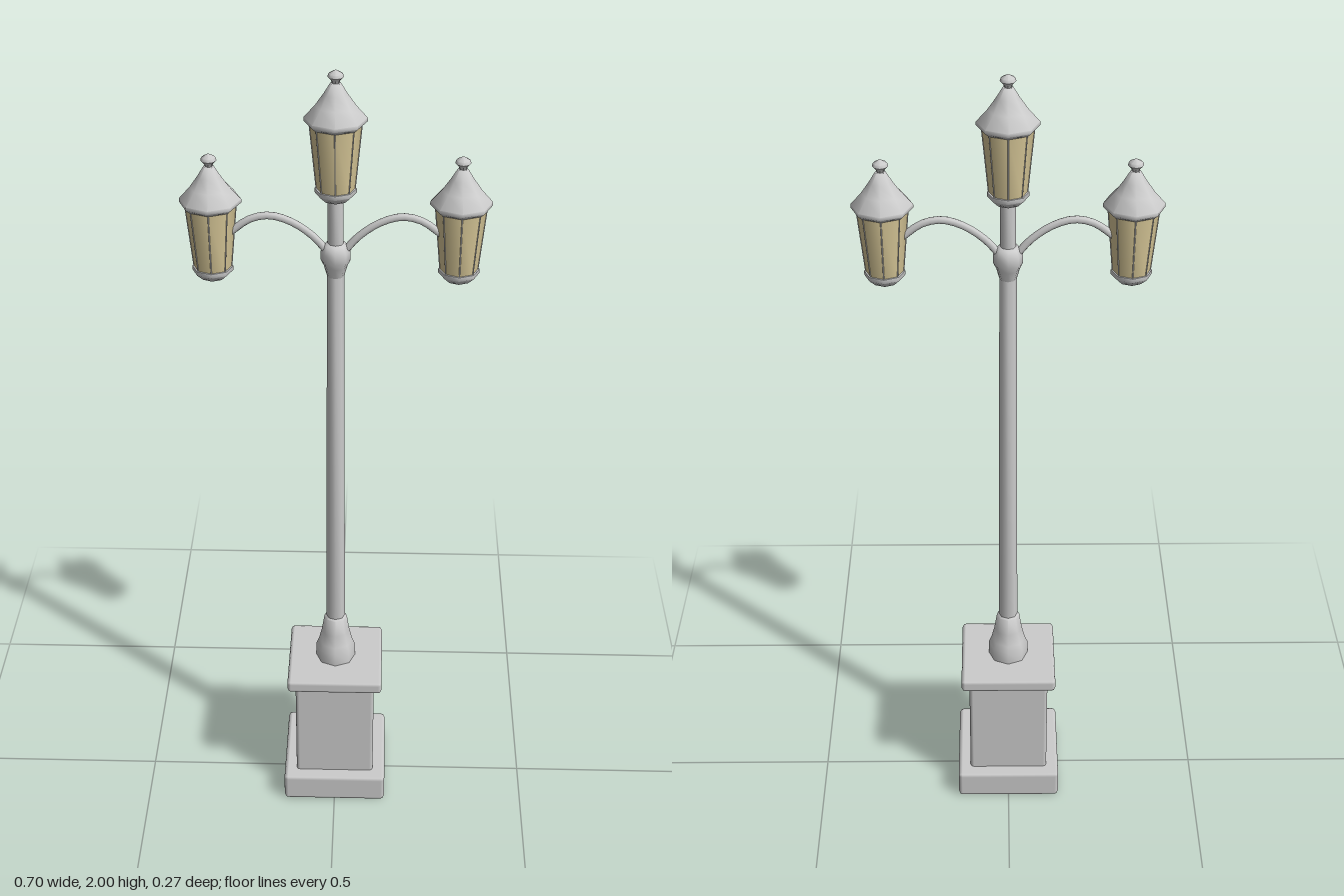
import * as THREE from 'three';
import { RoundedBoxGeometry } from 'three/addons/geometries/RoundedBoxGeometry.js';
import { toCreasedNormals } from 'three/addons/utils/BufferGeometryUtils.js';

const metal = new THREE.MeshStandardMaterial({ color: 0xcccccc });
const glassMat = new THREE.MeshStandardMaterial({ color: 0xd8c898 });

function add(parent, name, geometry, material = metal) {
  const mesh = new THREE.Mesh(geometry, material);
  mesh.name = name;
  parent.add(mesh);
  return mesh;
}

// Eight-sided turned shape from [radius, height] pairs, bottom to top
function turned(profile) {
  const points = profile.map(([r, y]) => new THREE.Vector2(r, y));
  return toCreasedNormals(new THREE.LatheGeometry(points, 8), 0.9);
}

// Square block with softened edges, between two heights
function block(parent, name, width, y0, y1, bevel) {
  const mesh = add(parent, name, new RoundedBoxGeometry(width, y1 - y0, width, 1, bevel));
  mesh.position.y = (y0 + y1) / 2;
}

// Lantern with its underside at y = 0
function lantern(name, x, y) {
  const group = new THREE.Group();
  group.name = name;
  group.position.set(x, y, 0);
  add(group, 'lanternBase', turned([[0, 0], [0.03, 0], [0.047, 0.016], [0.047, 0.026], [0, 0.026]]));
  add(group, 'lanternGlass', turned([[0.043, 0.025], [0.058, 0.18]]), glassMat);
  add(group, 'lanternRoof', turned([[0, 0.175], [0.06, 0.175], [0.07, 0.184], [0.07, 0.192],
    [0.045, 0.22], [0.026, 0.247], [0.012, 0.27], [0, 0.272]]));
  add(group, 'lanternFinial', turned([[0.008, 0.266], [0.01, 0.276], [0.018, 0.284],
    [0.016, 0.291], [0, 0.3]]));

  // Slim glazing bars along the eight corners of the glass
  for (let i = 0; i < 8; i++) {
    const a = (i * Math.PI) / 4;
    const at = (r, h) => new THREE.Vector3(Math.sin(a) * r, h, Math.cos(a) * r);
    const path = new THREE.LineCurve3(at(0.043, 0.024), at(0.058, 0.18));
    add(group, 'glazingBar', new THREE.TubeGeometry(path, 1, 0.0015, 4));
  }
  return group;
}

export function createModel() {
  const model = new THREE.Group();
  model.name = 'streetLamp';

  // Stone plinth
  block(model, 'plinthFoot', 0.268, 0, 0.078, 0.01);
  block(model, 'plinthBody', 0.204, 0.07, 0.368, 0.009);
  block(model, 'plinthCap', 0.244, 0.362, 0.396, 0.009);

  // Flared foot, tapered pole, collar and upper stem
  add(model, 'poleFoot', turned([[0.051, 0.39], [0.051, 0.432], [0.044, 0.448], [0.036, 0.48],
    [0.029, 0.525], [0.022, 0.53]]));
  add(model, 'pole', turned([[0.024, 0.52], [0.02, 1.53]]));
  add(model, 'collar', turned([[0.02, 1.51], [0.027, 1.535], [0.034, 1.55], [0.034, 1.572],
    [0.027, 1.588], [0.018, 1.592]]));
  add(model, 'upperStem', turned([[0.018, 1.58], [0.018, 1.71]]));
  model.add(lantern('topLantern', 0, 1.7));

  // Curved arms carrying the side lanterns
  for (const [side, name] of [[1, 'left'], [-1, 'right']]) {
    const path = new THREE.CatmullRomCurve3([
      [0.015, 1.565], [0.05, 1.607], [0.1, 1.643], [0.15, 1.658], [0.195, 1.648], [0.24, 1.615],
    ].map(([x, y]) => new THREE.Vector3(side * x, y, 0)));
    add(model, name + 'Arm', new THREE.TubeGeometry(path, 14, 0.009, 8));
    model.add(lantern(name + 'Lantern', side * 0.281, 1.505));
  }
  return model;
}
